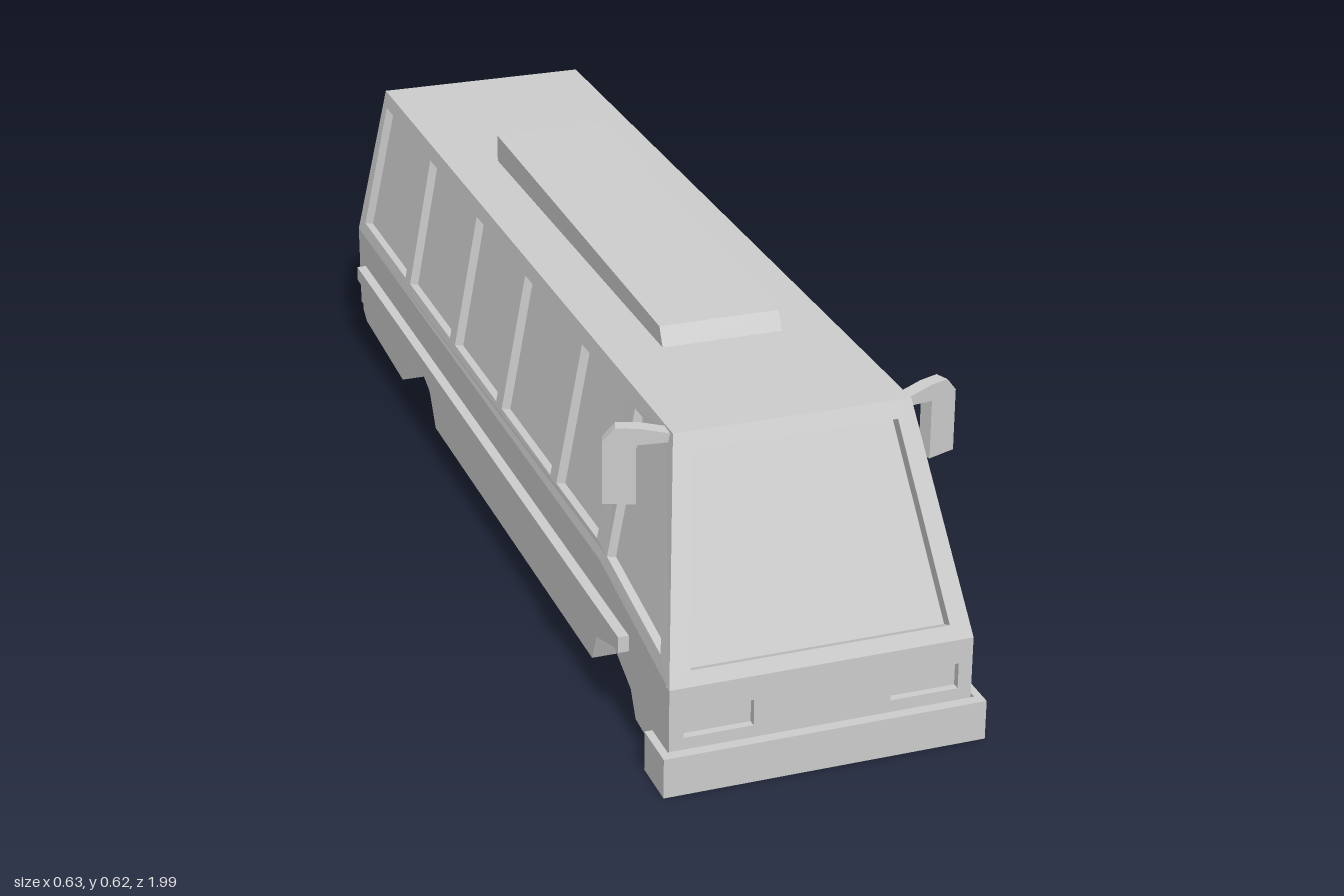
import * as THREE from 'three';

const mat = new THREE.MeshStandardMaterial({ color: 0xcccccc, flatShading: true, side: THREE.DoubleSide });
const ROOF = 0.567, BELT = 0.25, SILL = 0.185, HALF = 0.27, ROOF_HALF = 0.21;

const toShape = (pts) => new THREE.Shape(pts.map(([x, y]) => new THREE.Vector2(x, y)));
const mirrored = (pts) => [...pts, ...pts.map(([x, y]) => [-x, y]).reverse()];
const rect = (x0, x1, y0, y1) => [[x0, y0], [x1, y0], [x1, y1], [x0, y1]];

function add(parent, name, geometry) {
  const mesh = new THREE.Mesh(geometry, mat);
  mesh.name = name;
  parent.add(mesh);
  return mesh;
}

function box(parent, name, x0, x1, y0, y1, z0, z1) {
  const mesh = add(parent, name, new THREE.BoxGeometry(x1 - x0, y1 - y0, z1 - z0));
  mesh.position.set((x0 + x1) / 2, (y0 + y1) / 2, (z0 + z1) / 2);
  return mesh;
}

// Side profile in (z, y), extruded across x and centred
function across(parent, name, profile, width) {
  const geo = new THREE.ExtrudeGeometry(toShape(profile.map(([z, y]) => [-z, y])), { depth: width, bevelEnabled: false });
  geo.translate(0, 0, -width / 2).rotateY(Math.PI / 2);
  return add(parent, name, geo);
}

// Frame with openings plus a recessed pane, both laid onto a wall by the rule place(u, v, w)
function panel(parent, name, outline, holes, depth, place) {
  const group = new THREE.Group();
  group.name = name;
  const frame = toShape(outline);
  frame.holes = holes.map(toShape);
  const lay = (geo, inset) => {
    const p = geo.attributes.position;
    for (let i = 0; i < p.count; i++) p.setXYZ(i, ...place(p.getX(i), p.getY(i), p.getZ(i) - inset));
    geo.computeVertexNormals();
    return geo;
  };
  add(group, name + 'Frame', lay(new THREE.ExtrudeGeometry(frame, { depth, bevelEnabled: false }), depth));
  add(group, name + 'Pane', lay(new THREE.ShapeGeometry(toShape(outline)), depth * 0.95));
  parent.add(group);
}

// Belt line drops towards the windscreen; side walls lean in above it
const beltAt = (z) => BELT - (BELT - SILL) * Math.max(0, (z - 0.62) / 0.355);
const wallX = (z, y) => HALF - (HALF - ROOF_HALF) * (y - beltAt(z)) / (ROOF - beltAt(z));

export function createModel() {
  const bus = new THREE.Group();
  bus.name = 'bus';

  // Lower body with wheel arches running across the underside
  across(bus, 'lowerBody', [
    [0.96, 0.188], [0.62, BELT], [-0.975, BELT], [-0.975, 0.068], [-0.95, 0.05],
    [-0.66, 0.035], [-0.62, 0.1], [-0.53, 0.13], [-0.45, 0.1], [-0.41, 0.035],
    [0.58, 0.035], [0.605, 0.09], [0.7, 0.12], [0.785, 0.085], [0.81, 0.04], [0.96, 0.03],
  ], HALF * 2);

  // Front wall with headlight recesses
  const lamp = rect(0.122, 0.245, 0.092, 0.14);
  panel(bus, 'headlightWall', rect(-HALF, HALF, 0.03, SILL),
    [lamp, lamp.map(([x, y]) => [-x, y])], 0.015, (u, v, w) => [u, v, 0.975 + w]);

  // Rear wall with tail lights and plate recess
  const tail = rect(0.165, 0.23, 0.1, 0.225);
  panel(bus, 'tailLightWall', rect(-HALF, HALF, 0.08, BELT),
    [tail, tail.map(([x, y]) => [-x, y]), rect(-0.08, 0.08, 0.086, 0.14)], 0.015,
    (u, v, w) => [-u, v, -0.99 - w]);

  // Windscreen and rear window
  panel(bus, 'windscreen', mirrored([[HALF, SILL], [ROOF_HALF, ROOF]]),
    [mirrored([[0.23, 0.21], [0.182, 0.538]])], 0.025,
    (u, v, w) => [u, v + w * 0.376, 0.975 - 0.155 * (v - SILL) / (ROOF - SILL) + w * 0.926]);
  panel(bus, 'rearWindow', mirrored([[HALF, BELT], [ROOF_HALF, ROOF]]),
    [mirrored([[0.238, 0.28], [0.19, 0.54]])], 0.015,
    (u, v, w) => [-u, v + w * 0.12, -0.99 + 0.038 * (v - BELT) / (ROOF - BELT) - w]);

  // Side windows, separated by pillars
  const outline = [[0.975, SILL], [0.82, ROOF], [-0.952, ROOF], [-0.99, BELT], [0.62, BELT]];
  const windows = [[[0.92, 0.222], [0.8, 0.538], [0.65, 0.538], [0.65, 0.268]]];
  const edges = [[0.595, 0.37], [0.335, 0.04], [0.005, -0.27], [-0.305, -0.595], [-0.63, -0.95]];
  for (const [a, b] of edges) {
    const top = b === -0.95 ? -0.928 : b;
    windows.push([[a, 0.276], [a, 0.538], [top, 0.538], [b, 0.276]]);
  }
  for (const s of [1, -1]) {
    const side = s > 0 ? 'left' : 'right';
    const flip = (pts) => pts.map(([z, y]) => [-s * z, y]);
    panel(bus, side + 'Windows', flip(outline), windows.map(flip), 0.018,
      (u, v, w) => [s * (wallX(-s * u, v) + w * 0.98), v + w * 0.19, -s * u]);

    // Rub rail
    const rail = box(bus, side + 'Rail', 0.265, 0.289, 0.152, 0.182, -0.94, 0.775);
    rail.position.x *= s;

    // Mirror hanging from a short arm, swept back
    const outlineMirror = [[-0.01, 0.562], [0.045, 0.57], [0.083, 0.57], [0.104, 0.545],
      [0.104, 0.433], [0.048, 0.433], [0.048, 0.54], [-0.01, 0.547]];
    const mirror = add(bus, side + 'Mirror', new THREE.ExtrudeGeometry(
      toShape(outlineMirror.map(([x, y]) => [s * x, y])), { depth: 0.026, bevelEnabled: false }));
    mirror.position.set(s * 0.208, 0, 0.782);
    mirror.rotation.y = s * 0.36;
  }

  // Roof and rooftop unit
  box(bus, 'roof', -ROOF_HALF, ROOF_HALF, ROOF - 0.015, ROOF, -0.952, 0.82);
  across(bus, 'roofUnit', [[0.495, 0.56], [0.475, 0.6], [-0.475, 0.62], [-0.475, 0.56]], 0.22);

  // Wrap-around front bumper
  const bumper = new THREE.ExtrudeGeometry(toShape([
    [-0.288, -1], [0.288, -1], [0.288, -0.905], [0.274, -0.905],
    [0.274, -0.98], [-0.274, -0.98], [-0.274, -0.905], [-0.288, -0.905],
  ]), { depth: 0.073, bevelEnabled: false });
  bumper.rotateX(-Math.PI / 2);
  add(bus, 'frontBumper', bumper);

  return bus;
}
